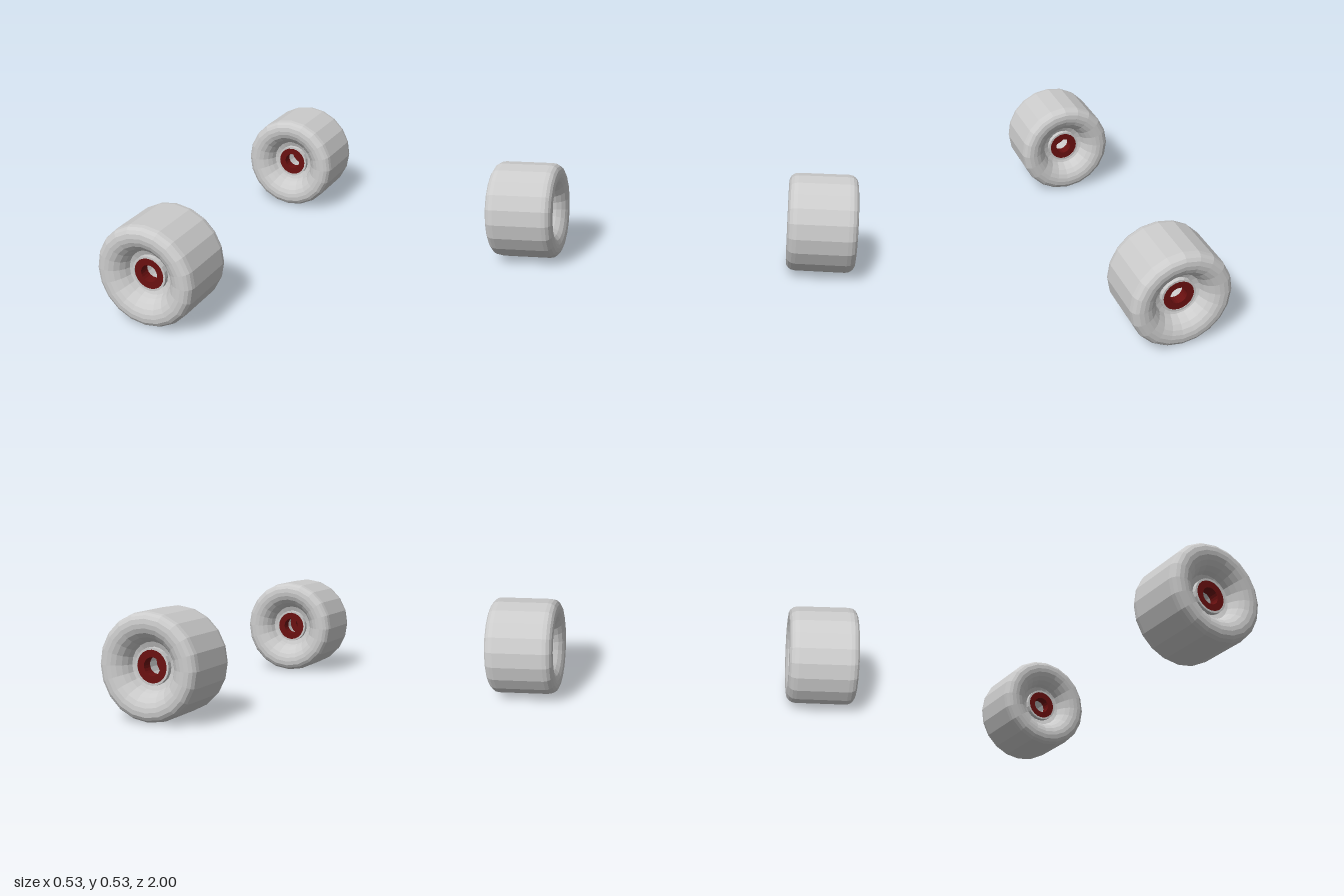
import * as THREE from 'three';

const SIDES = 20;
const RADIUS = 0.266;
const WHEEL_Z = 0.815;

const grey = new THREE.MeshStandardMaterial({ color: 0xcccccc, flatShading: true });
const red = new THREE.MeshStandardMaterial({ color: 0x6a1010, flatShading: true });

// Closed ring turned about z from [radius, z] points, listed counterclockwise
function ring(name, points, material) {
  const profile = [...points, points[0]].map(([r, z]) => new THREE.Vector2(r, z));
  const geometry = new THREE.LatheGeometry(profile, SIDES).rotateX(Math.PI / 2);
  const mesh = new THREE.Mesh(geometry, material);
  mesh.name = name;
  return mesh;
}

function createWheel(name) {
  const wheel = new THREE.Group();
  wheel.name = name;

  // Half of the tyre section: tread, rounded shoulder, dished side, hub lip, bore
  const half = [
    [RADIUS, 0.135], [0.262, 0.156], [0.251, 0.172], [0.235, 0.182], [0.212, 0.185],
    [0.19, 0.182], [0.167, 0.172], [0.145, 0.153], [0.128, 0.128], [0.118, 0.102],
    [0.092, 0.092], [0.092, 0.117], [0.081, 0.117],
  ];
  const back = half.map(([r, z]) => [r, -z]).reverse();
  wheel.add(ring('tyre', [...half, ...back], grey));

  // A thin bearing at each end of the bore
  for (const side of [1, -1]) {
    const bearing = ring('bearing',
      [[0.082, 0.06], [0.082, 0.115], [0.045, 0.115], [0.045, 0.06]], red);
    if (side < 0) bearing.rotation.y = Math.PI;
    wheel.add(bearing);
  }
  return wheel;
}

export function createModel() {
  const model = new THREE.Group();
  model.name = 'wheelPair';
  for (const [name, side] of [['frontWheel', 1], ['backWheel', -1]]) {
    const wheel = createWheel(name);
    wheel.position.set(0, RADIUS, side * WHEEL_Z);
    model.add(wheel);
  }
  return model;
}
